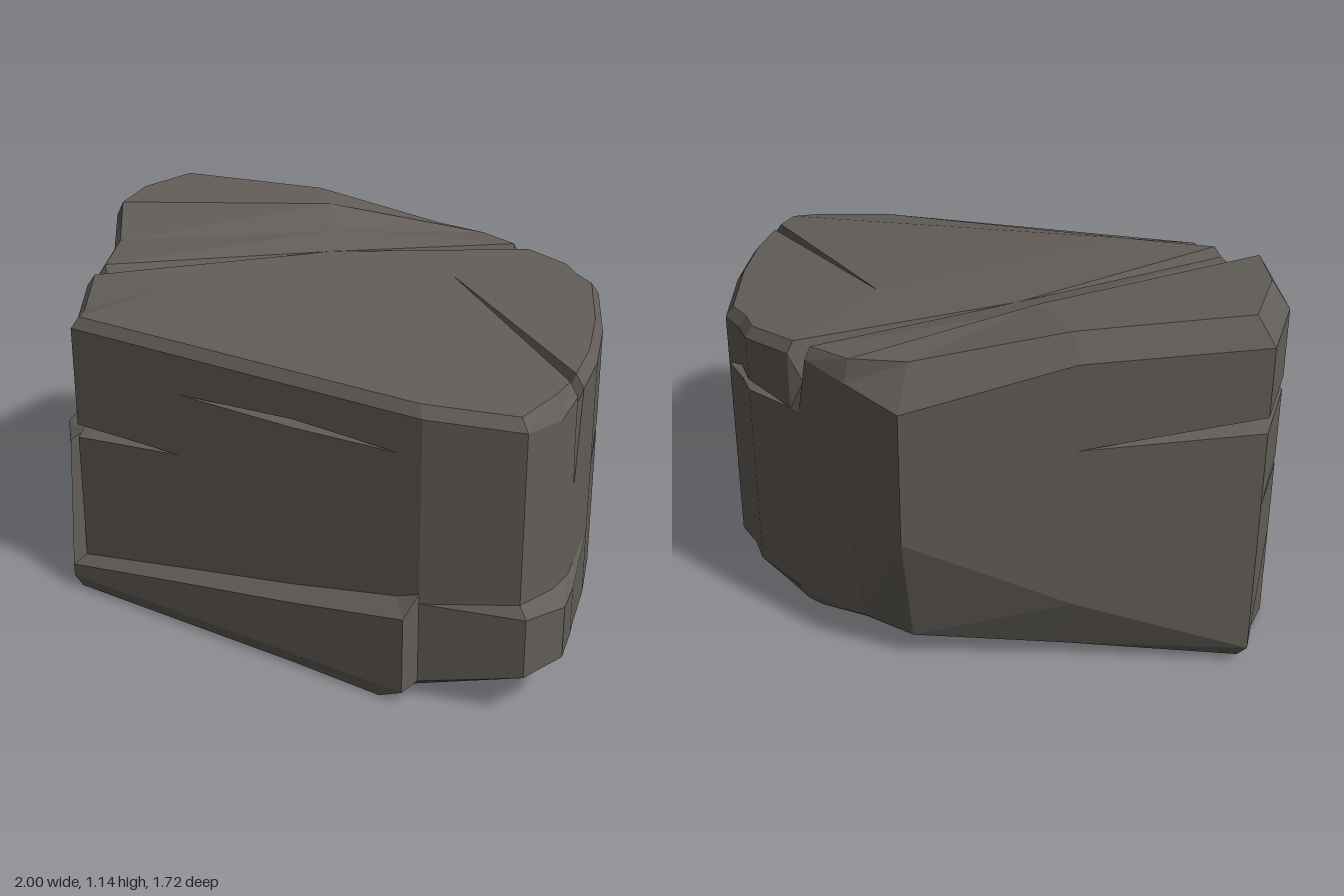
import * as THREE from 'three';

// Height rules for the top surfaces
const mainTop = (x, z) => 0.97 - 0.05 * x - 0.02 * z;
const slabTop = (x) => Math.min(1.06 - 0.08 * x, 0.995 - 0.33 * x);
const frontEdge = (x) => 0.91 - 0.03 * x;

// A point on a column, scaled away from (or towards) the centre line
const at = (x, z, y, grow = 0) => [x * (1 + grow), y, z * (1 + grow)];

// One vertical column of the wall, from the underside to the top edge.
// flare pushes the base out, under moves the foot, a and b are wedge slits
// given as [height, half width, depth], notch cuts a crack into the rim.
function column(x, z, height, options = {}) {
  const { flare = 0, under = flare, footY = 0.13, ledgeY = 0.32, a = [0.56], b = [0.75],
    drop = 0.035, inset = 0.03, notch = 0 } = options;
  const foot = at(x, z, footY, under);
  const bottomY = Math.min(footY, Math.max(0, (-0.13 - foot[2]) * 0.123));
  const slit = ([y, half = 0, depth = 0]) => [at(x, z, y - half), at(x, z, y, -depth), at(x, z, y + half)];
  const y = height(x, z) - notch;
  return [
    [Math.min(0.52, foot[0] * 0.97), bottomY, foot[2] * 0.98],
    foot, at(x, z, ledgeY, flare), at(x, z, ledgeY + 0.03),
    ...slit(a), ...slit(b),
    at(x, z, y - drop, -notch / 3), at(x, z, y, -inset - notch / 3),
  ];
}

// Columns run anticlockwise seen from above.
// Front wall: the base ledge grows thicker and higher towards +x
const front = [-0.63, -0.22, 0.2, 0.55].map((x, i) => column(x, 0.72 + 0.105 * x, frontEdge, {
  flare: 0.05 + 0.013 * i, footY: 0.04, ledgeY: 0.08 + 0.065 * i,
  a: i === 0 ? [0.55, 0.022, 0.1] : [0.56],
  b: i === 2 ? [0.755, 0.013, 0.06] : [0.765 - 0.007 * i],
}));

// Corner block, with a crack running down from the top
const corner = [
  column(0.62, 0.785, frontEdge, { footY: 0.05, ledgeY: 0.3 }),
  column(0.9, 0.735, frontEdge, { flare: 0.03, ledgeY: 0.31 }),
  column(0.95, 0.605, mainTop, { flare: 0.05, footY: 0.15, ledgeY: 0.31, drop: 0.06 }),
  column(0.955, 0.49, mainTop, { flare: 0.025, footY: 0.15, ledgeY: 0.3 }),
  column(0.953, 0.47, mainTop, { flare: 0.022, footY: 0.15, ledgeY: 0.3, b: [0.6], notch: 0.09 }),
  column(0.95, 0.42, mainTop, { flare: 0.015, footY: 0.15, ledgeY: 0.31 }),
];

// Wall on +x, ending at the back end of the trench
const rightWall = [
  column(0.925, 0.21, mainTop),
  column(0.86, -0.06, mainTop, { footY: 0.105, a: [0.575, 0.02, 0.1] }),
  column(0.74, -0.41, mainTop),
  column(0.66, -0.485, mainTop, { b: [0.76, 0.022, 0.1] }),
  column(0.6, -0.57, mainTop, { b: [0.76, 0.018, 0.1] }),
  column(0.42, -0.67, mainTop, { footY: 0.11 }),
  column(0.385, -0.69, mainTop, { footY: 0.11, notch: 0.09 }),
  column(0.35, -0.705, mainTop, { footY: 0.105 }),
  column(0.2, -0.78, mainTop, { under: -0.06, footY: 0.09, ledgeY: 0.4, drop: 0.07 }),
];

// Back and -x sides of the raised slab
const slab = { drop: 0.08, inset: 0.06 };
const slabWall = [
  column(0.01, -0.87, slabTop, { ...slab, under: -0.1, footY: 0.08, ledgeY: 0.45, drop: 0.12, inset: 0.12 }),
  column(-0.47, -0.715, slabTop, { ...slab, under: -0.08, footY: 0.05, ledgeY: 0.235 }),
  column(-0.985, -0.55, slabTop, { ...slab, under: -0.03, footY: 0.02, ledgeY: 0.06, b: [0.82, 0.025, 0.13] }),
  column(-1, -0.25, slabTop, { ...slab, footY: 0.01, a: [0.56, 0.012, 0.07], b: [0.82, 0.022, 0.12] }),
  column(-0.91, -0.01, slabTop, { drop: 0.05, footY: 0.01, flare: 0.03, ledgeY: 0.4, a: [0.56, 0.02, 0.1], b: [0.8] }),
];

// Wall on -x, bulging below its slit, with the front end of the trench
const bulge = { flare: 0.11, footY: 0.03, ledgeY: 0.49, a: [0.555, 0.021, 0.1] };
const leftWall = [
  column(-0.88, 0.06, mainTop, { ...bulge, flare: 0.04, footY: 0.01, b: [0.8] }),
  column(-0.76, 0.32, mainTop, { ...bulge, flare: 0.13 }),
  column(-0.745, 0.37, mainTop, { ...bulge, notch: 0.09 }),
  column(-0.725, 0.43, mainTop, bulge),
  column(-0.66, 0.58, frontEdge, { ...bulge, flare: 0.055 }),
];

const columns = [...front, ...corner, ...rightWall, ...slabWall, ...leftWall];

// Loose points inside the top surface
const slabEdge = [-0.3, 1.09, -0.48], stepFoot = [-0.22, 1.02, -0.39], trenchMid = [-0.17, 0.985, -0.23];
const ridge = [-0.41, 0.995, 0.43], crackTip = [0.3, 0.965, -0.2];

// Flat-faceted mesh from a list of triangle corners
function facetMesh(name, points, material) {
  const geometry = new THREE.BufferGeometry();
  geometry.setAttribute('position', new THREE.Float32BufferAttribute(points.flat(), 3));
  geometry.computeVertexNormals();
  const mesh = new THREE.Mesh(geometry, material);
  mesh.name = name;
  return mesh;
}

// Triangles from a centre point to each edge of an open chain
const fan = (centre, chain) => chain.slice(1).flatMap((p, i) => [centre, chain[i], p]);

export function createModel() {
  const stone = new THREE.MeshStandardMaterial({ color: 0x625d58, flatShading: true });
  stone.name = 'dark stone';
  const model = new THREE.Group();
  model.name = 'boulder';
  const add = (name, points) => model.add(facetMesh(name, points, stone));

  // Walls: quads between neighbouring columns
  add('walls', columns.flatMap((c, i) => {
    const n = columns[(i + 1) % columns.length];
    return c.slice(1).flatMap((p, l) => [c[l], n[l], n[l + 1], c[l], n[l + 1], p]);
  }));

  // Underside
  const bottoms = columns.map((c) => c[0]).reverse();
  add('underside', fan([0, 0, 0], [...bottoms, bottoms[0]]));

  // Top surfaces, from the raised back slab forwards
  const t = columns.map((c) => c[c.length - 1]);
  add('raisedSlab', fan(slabEdge, t.slice(19, 24)));
  add('slabStep', [...fan(slabEdge, [t[23], t[24], stepFoot]), ...fan(slabEdge, [stepFoot, t[18], t[19]])]);
  add('middleTop', fan(stepFoot, [t[24], t[25], trenchMid, t[17], t[18]]));
  add('trench', [...fan(trenchMid, t.slice(25, 28)), ...fan(trenchMid, t.slice(15, 18))]);
  add('mainTop', fan(crackTip, [...t.slice(9, 16), trenchMid, t[27], ridge, t[6], t[7]]));
  add('topCrack', fan(crackTip, t.slice(7, 10)));
  add('frontSlope', fan(ridge, [t[27], t[28], ...t.slice(0, 7)]));
  return model;
}
